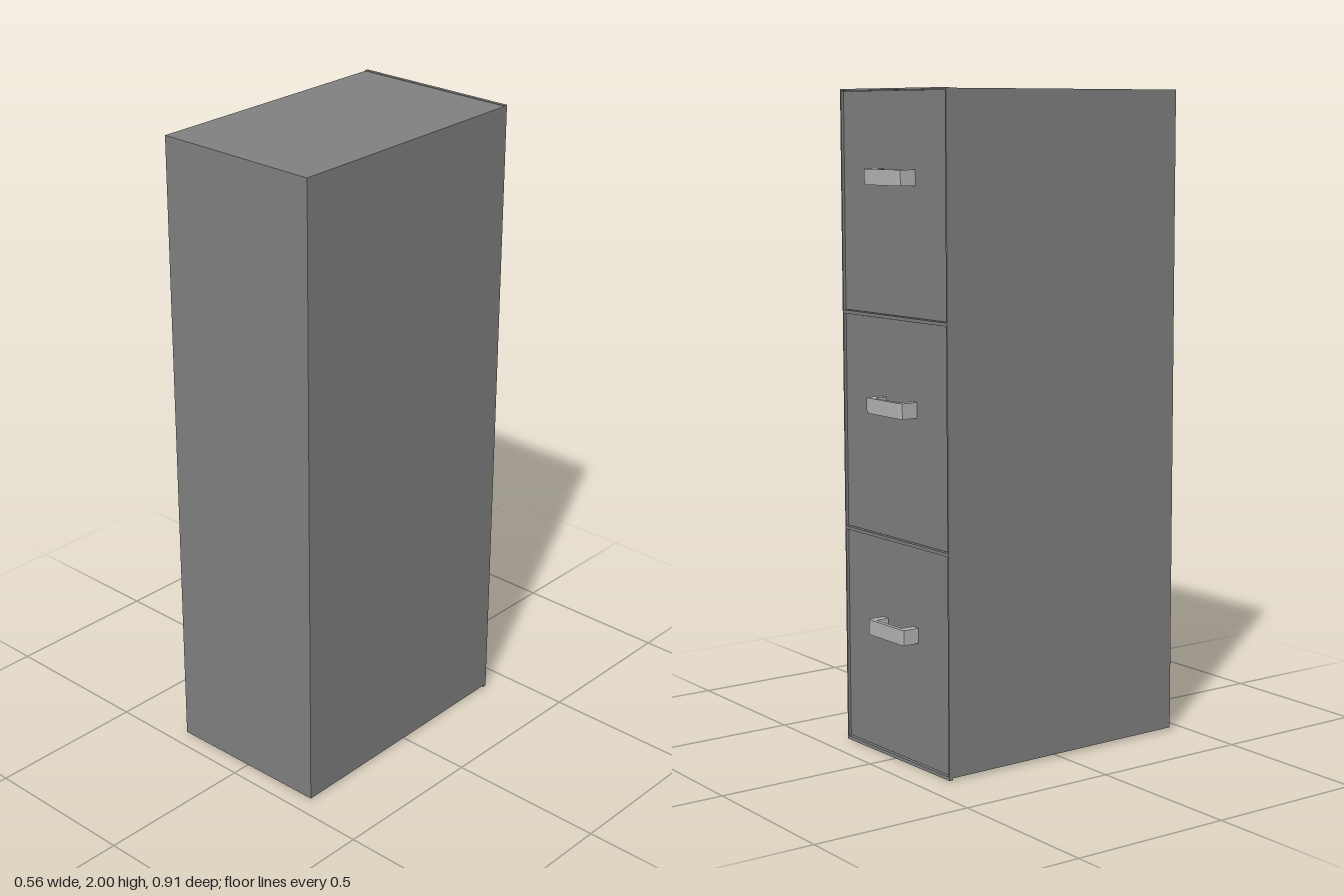
import * as THREE from 'three';

const W = 0.537, H = 2.0, D = 0.857;   // overall cabinet size
const BACK = -D / 2;                   // plane of the frame around the drawers
const LIP = 0.012;                     // how far the drawers sit inside the frame
const ROWS = 3, RIM = 0.005, GAP = 0.01;

const bodyGrey = new THREE.MeshStandardMaterial({ color: 0x808080 });
bodyGrey.name = 'cabinetGrey';
const handleGrey = new THREE.MeshStandardMaterial({ color: 0xb4b4b4 });
handleGrey.name = 'handleGrey';

function add(parent, name, geometry, material, x = 0, y = 0, z = 0) {
  const mesh = new THREE.Mesh(geometry, material);
  mesh.name = name;
  mesh.position.set(x, y, z);
  parent.add(mesh);
  return mesh;
}

const polygon = (points) => points.map(([x, y]) => new THREE.Vector2(x, y));

// Bracket outline in plan: x along the drawer, y = distance out from it
function handleGeometry() {
  const half = 0.092, out = 0.058, height = 0.046;
  const shape = new THREE.Shape(polygon([
    [-half, 0], [-half + 0.026, 0], [-half + 0.028, out - 0.013],
    [half - 0.028, out - 0.013], [half - 0.026, 0], [half, 0],
    [half, out - 0.003], [half - 0.015, out], [-half + 0.015, out], [-half, out - 0.003],
  ]));
  const geometry = new THREE.ExtrudeGeometry(shape, { depth: height, bevelEnabled: false });
  geometry.translate(0, 0, -height / 2);
  geometry.rotateX(-Math.PI / 2);
  return geometry;
}

export function createModel() {
  const model = new THREE.Group();
  model.name = 'filingCabinet';
  const cabinet = new THREE.Group();
  cabinet.name = 'cabinet';
  model.add(cabinet);

  // Closed body behind the drawer frame
  const bodyDepth = D - LIP;
  add(cabinet, 'body', new THREE.BoxGeometry(W, H - 0.014, bodyDepth), bodyGrey,
    0, 0.012 + (H - 0.014) / 2, LIP / 2);

  // Thin frame with one opening per drawer
  const outline = new THREE.Shape(polygon([
    [-W / 2, 0.006], [W / 2, 0.006], [W / 2, H], [-W / 2, H],
  ]));
  const pitch = (H - 0.012) / ROWS;
  const openings = [];
  for (let i = 0; i < ROWS; i++) {
    const y0 = 0.012 + i * pitch + (i === 0 ? RIM : GAP / 2);
    const y1 = 0.012 + (i + 1) * pitch - (i === ROWS - 1 ? RIM : GAP / 2);
    const x = W / 2 - RIM;
    outline.holes.push(new THREE.Path(polygon([[-x, y0], [-x, y1], [x, y1], [x, y0]])));
    openings.push([y0, y1]);
  }
  const frame = new THREE.ExtrudeGeometry(outline, { depth: LIP, bevelEnabled: false });
  add(cabinet, 'drawerFrame', frame, bodyGrey, 0, 0, BACK);

  // Recessed drawer fronts, each with a bracket handle
  const handle = handleGeometry();
  openings.forEach(([y0, y1], i) => {
    const drawer = new THREE.Group();
    drawer.name = `drawer${i + 1}`;
    cabinet.add(drawer);
    add(drawer, 'drawerFront', new THREE.BoxGeometry(W - 2 * RIM - 0.003, y1 - y0 - 0.003, 0.006),
      bodyGrey, 0, (y0 + y1) / 2, BACK + LIP - 0.001);
    // the handle points away from the drawer, towards -z
    add(drawer, 'handle', handle, handleGrey, -0.014, 0.406 + i * 0.67, BACK + LIP - 0.001);
  });

  // The cabinet stands very slightly turned and leaning
  cabinet.rotation.set(0, 0.0165, -0.0025);
  cabinet.position.set(-0.003, 0, 0.019);
  return model;
}
